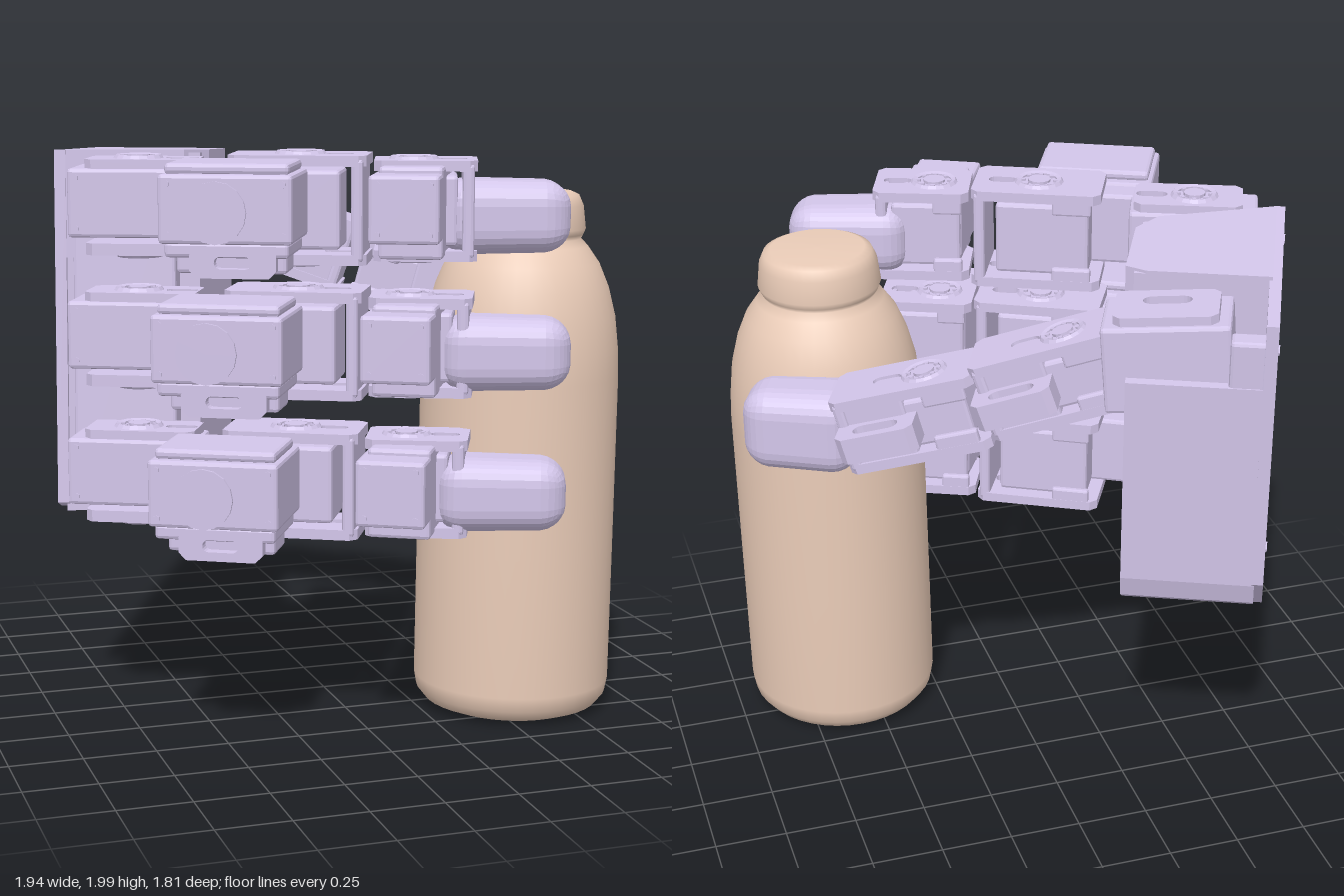
import * as THREE from 'three';
import { RoundedBoxGeometry } from 'three/addons/geometries/RoundedBoxGeometry.js';

const shell = new THREE.MeshStandardMaterial({ color: 0xd3c6ea, flatShading: true });
const clay = new THREE.MeshStandardMaterial({ color: 0xeaccb8 });
const YAW = 0.424; // heading of the whole hand in plan
const rad = THREE.MathUtils.degToRad;

function add(parent, name, geo, x = 0, y = 0, z = 0, mat = shell) {
  const m = new THREE.Mesh(geo, mat);
  m.name = name;
  m.position.set(x, y, z);
  parent.add(m);
  return m;
}

function node(parent, name, x, y, z, deg = 0, pitch = 0) {
  const g = new THREE.Group();
  g.name = name;
  g.position.set(x, y, z);
  g.rotation.set(0, -rad(deg), pitch);
  parent.add(g);
  return g;
}

const box = (l, h, w, r = 0.012) => new RoundedBoxGeometry(l, h, w, 1, r);

// Extrude a plan outline [[x, z], ...] from y0 up to y1
function slab(points, y0, y1, holes = []) {
  const s = new THREE.Shape(points.map(([x, z]) => new THREE.Vector2(x, -z)));
  s.holes = holes;
  const g = new THREE.ExtrudeGeometry(s, { depth: y1 - y0, bevelEnabled: false, curveSegments: 4 });
  return g.rotateX(-Math.PI / 2).translate(0, y0, 0);
}

// Extrude a side outline [[z, y], ...] along x from x0 to x1
function wall(points, x0, x1) {
  const s = new THREE.Shape(points.map(([z, y]) => new THREE.Vector2(-z, y)));
  const g = new THREE.ExtrudeGeometry(s, { depth: x1 - x0, bevelEnabled: false });
  return g.rotateY(Math.PI / 2).translate(x0, 0, 0);
}

// Horizontal plate with chamfered corners and a rounded slot at sx, sz
function slotPlate(l, h, w, sx, sz, sl, sr) {
  const a = l / 2, b = w / 2, c = 0.025;
  const hole = new THREE.Path();
  hole.absarc(sx + sl / 2, -sz, sr, -Math.PI / 2, Math.PI / 2, false);
  hole.absarc(sx - sl / 2, -sz, sr, Math.PI / 2, Math.PI * 1.5, false);
  return slab([[-a + c, -b], [a - c, -b], [a, -b + c], [a, b - c], [a - c, b],
    [-a + c, b], [-a, b - c], [-a, -b + c]], -h / 2, h / 2, [hole]);
}

// Round servo horn: a ring, a hub and small screws
function horn(parent, x, y, z, r, side) {
  const g = node(parent, 'servoHorn', x, y, z);
  if (side < 0) g.rotation.x = Math.PI;
  add(g, 'hornRing', new THREE.TorusGeometry(r * 0.85, r * 0.15, 5, 18).rotateX(Math.PI / 2));
  add(g, 'hornHub', new THREE.CylinderGeometry(r * 0.45, r * 0.45, 0.024, 12));
  for (let i = 0; i < 8; i++) {
    const t = i * Math.PI / 4;
    add(g, 'hornScrew', new THREE.CylinderGeometry(0.009, 0.009, 0.02, 6), r * 0.65 * Math.cos(t), 0, r * 0.65 * Math.sin(t));
  }
}

// Bracket: slotted plates above and below, joined by end walls, with horns
function bracket(parent, l, h, w, hornX) {
  for (const s of [1, -1]) {
    add(parent, 'bracketPlate', slotPlate(l, 0.035, w, hornX + 0.13, 0, 0.05, 0.025), 0, s * (h / 2 - 0.0175), 0);
    horn(parent, hornX, s * (h / 2 - 0.002), 0, w * 0.34, s);
    for (const z of [-1, 1])
      add(parent, 'bracketRib', box(l * 0.3, 0.06, 0.03, 0.008), -l * 0.28, s * (h / 2 - 0.05), z * (w / 2 - 0.016));
  }
  add(parent, 'bracketWall', box(0.04, h - 0.02, w), l / 2 - 0.03, 0, 0);
  add(parent, 'bracketCore', box(l * 0.72, h - 0.1, w - 0.04), -l * 0.05, 0, 0);
}

// Servo body with a front disc and corner screws on its outer face
function servo(parent, l, y0, y1, w, disc) {
  const h = y1 - y0, y = (y0 + y1) / 2;
  add(parent, 'servoBody', box(l, h, w), 0, y, 0);
  if (disc) add(parent, 'servoDisc', new THREE.CylinderGeometry(0.1, 0.1, 0.02, 16).rotateX(Math.PI / 2), -0.03, y - 0.01, w / 2);
  for (const sx of [-1, 1]) for (const sy of [-1, 1])
    add(parent, 'servoScrew', new THREE.CylinderGeometry(0.011, 0.011, 0.01, 6).rotateX(Math.PI / 2),
      sx * (l / 2 - 0.03), y + sy * (h / 2 - 0.03), w / 2);
}

// Fingertip: block tapering into a blunt round end
function tip(parent, l, h, w) {
  const g = new RoundedBoxGeometry(l, h, w, 3, 0.085);
  const p = g.attributes.position;
  for (let i = 0; i < p.count; i++) {
    const t = Math.max(0, p.getX(i) / (l / 2));
    p.setY(i, p.getY(i) * (1 - 0.12 * t * t));
    p.setZ(i, p.getZ(i) * (1 - 0.15 * t * t));
  }
  add(parent, 'fingertip', g);
}

// Finger on a pivot at its root, at height y, shifted along x, swung by deg, tip pushed out by tipOut
function finger(root, y, dx, deg, tipOut) {
  const px = -0.75, pz = 0.25;
  const f = node(root, 'finger', px + dx, y, pz, deg);
  const at = (name, x, z, turn, dy = 0) => node(f, name, x - px, dy, z - pz, turn);

  // knuckle base
  const base = at('knuckle', -0.69, 0.125, 24);
  servo(base, 0.45, -0.1, 0.13, 0.23, false);
  for (const s of [-1, 1]) {
    add(base, 'knucklePlate', slotPlate(0.38, 0.04, 0.21, 0.13, 0, 0.06, 0.025), 0.02, s * 0.14, 0);
    horn(base, 0, s * 0.16, 0, 0.085, s);
  }
  // lower phalanx
  const low = at('lowerPhalanx', -0.49, 0.565, 27);
  servo(low, 0.43, -0.08, 0.14, 0.35, true);
  add(low, 'topCover', box(0.4, 0.035, 0.28), 0, 0.155, 0);
  add(low, 'lowerCover', box(0.4, 0.05, 0.3), 0, -0.1, 0);
  add(low, 'slotTab', slotPlate(0.28, 0.04, 0.1, 0, 0, 0.08, 0.02).rotateX(Math.PI / 2), 0.02, -0.14, 0.13);
  add(low, 'tabBack', box(0.36, 0.07, 0.16), 0, -0.15, -0.02);
  add(low, 'rearLink', box(0.26, 0.26, 0.14), -0.04, 0, -0.2);
  // middle joint
  bracket(at('middleJoint', -0.2, 0.38, 26), 0.46, 0.36, 0.26, 0);
  // upper phalanx
  const up = at('upperPhalanx', 0.09, 0.64, 28);
  servo(up, 0.23, -0.09, 0.13, 0.4, false);
  add(up, 'sideCover', box(0.21, 0.3, 0.24), 0.01, 0, -0.03);
  // end joint and fingertip
  bracket(at('endJoint', 0.18, 0.55, 22), 0.34, 0.33, 0.25, -0.04);
  tip(at('tip', 0.435, 0.625 + tipOut, 20, -0.025), 0.43, 0.25, 0.26);
}

function thumb(hand) {
  const t = node(hand, 'thumb', 0, 0, -0.41);
  // mount on the palm
  const mount = node(t, 'thumbMount', -0.55, 1.755, 0, 0, -0.08);
  servo(mount, 0.42, -0.18, 0.12, 0.26, false);
  add(mount, 'mountCover', slotPlate(0.34, 0.04, 0.22, 0, 0.03, 0.1, 0.03), 0, 0.13, 0);
  // two sloping links, each with a slotted side flange
  for (const [x, y, fx, pitch] of [[-0.18, 1.635, 0.12, -0.33], [0.29, 1.465, 0.1, -0.27]]) {
    const link = node(t, 'thumbLink', x, y, 0, 0, pitch);
    bracket(link, 0.5, 0.27, 0.24, -0.07);
    add(link, 'sideFlange', slotPlate(0.27, 0.09, 0.18, 0, -0.03, 0.1, 0.028), fx, 0, -0.13);
    add(link, 'linkBody', box(0.24, 0.25, 0.22), 0.12, 0, 0);
  }
  tip(node(t, 'thumbTip', 0.685, 1.38, 0.03), 0.39, 0.3, 0.25);
}

function palm(hand) {
  // the palm leans slightly about the finger direction
  const lean = node(hand, 'palm', 0, 1.35, 0);
  lean.rotation.x = -0.045;
  const g = node(lean, 'palmParts', 0, -1.35, 0);
  // housing with a rising floor, a beveled lower edge and a narrower inner face
  const body = wall([[0.3, 0.71], [-0.46, 0.83], [-0.54, 0.89], [-0.56, 0.97], [-0.56, 1.72], [-0.25, 1.72], [-0.25, 1.96], [0.3, 1.96]], -0.87, -0.42);
  const p = body.attributes.position;
  for (let i = 0; i < p.count; i++)
    if (p.getX(i) > -0.5 && p.getZ(i) > 0.2) p.setZ(i, 0.15);
  body.computeVertexNormals();
  add(g, 'palmHousing', body);
  add(g, 'palmTop', slab([[-0.87, 0.31], [-0.47, 0.18], [-0.4, 0.08], [-0.39, -0.22], [-0.46, -0.25], [-0.87, -0.25]], 1.6, 1.97));
  // back plate with clipped lower corners
  add(g, 'backPlate', wall([[0.31, 0.74], [0.31, 1.97], [-0.565, 1.95], [-0.565, 0.98], [-0.46, 0.84], [0.26, 0.72]], -0.9, -0.86));
  add(g, 'cornerPost', box(0.12, 0.2, 0.08), -0.81, 1.78, -0.515);
  for (const [y, z] of [[0.86, 0.24], [1.88, 0.24], [1.1, -0.51], [1.84, -0.51]])
    add(g, 'plateScrew', new THREE.CylinderGeometry(0.018, 0.018, 0.02, 8).rotateZ(Math.PI / 2), -0.895, y, z);
  // cable knobs under the palm
  for (const [x, z] of [[-0.6, -0.28], [-0.68, -0.2]])
    add(g, 'cableKnob', new THREE.CylinderGeometry(0.03, 0.035, 0.08, 8), x, 0.8, z);
  // spine joining the finger roots
  add(g, 'fingerRail', box(0.36, 1.16, 0.1), -0.66, 1.32, 0.25);
}

function bottle(root) {
  const b = node(root, 'bottle', 0.593, 0.005, 0.345);
  b.rotation.z = -0.014;
  const profile = [[0, 0.01], [0.26, 0.005], [0.31, 0.025], [0.338, 0.06], [0.347, 0.11], [0.347, 0.6], [0.346, 1.2],
    [0.341, 1.3], [0.328, 1.41], [0.302, 1.51], [0.268, 1.59], [0.225, 1.65], [0.2, 1.675], [0.208, 1.69],
    [0.216, 1.71], [0.206, 1.79], [0.19, 1.825], [0.165, 1.836], [0, 1.838]];
  add(b, 'bottleBody', new THREE.LatheGeometry(profile.map(([r, y]) => new THREE.Vector2(r, y)), 40), 0, 0, 0, clay);
}

export function createModel() {
  const root = new THREE.Group();
  root.name = 'robotHandWithBottle';
  bottle(root);
  const hand = node(root, 'hand', 0, 0, 0);
  hand.rotation.y = -YAW;
  palm(hand);
  thumb(hand);
  for (const [y, dx, deg, tipOut] of [[1.805, 0, -1.5, 0], [1.36, -0.012, 1.4, 0.035], [0.89, -0.022, 2.2, 0.04]])
    finger(root, y, dx, deg, tipOut);
  return root;
}
